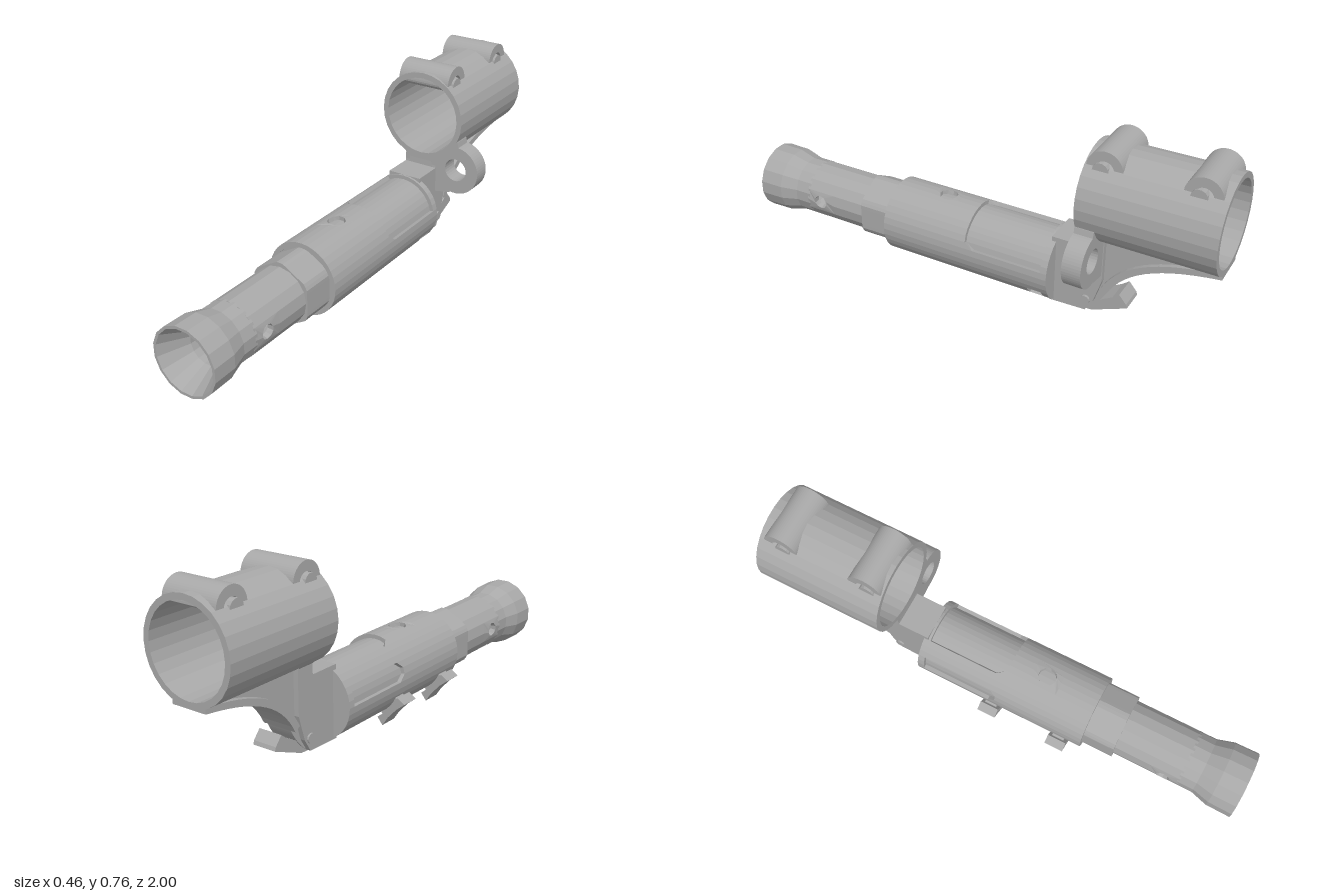
import * as THREE from 'three';
import { mergeGeometries } from 'three/addons/utils/BufferGeometryUtils.js';

const CX = -0.04, CY = 0.183; // lower tube axis
const RX = -0.042, RY = 0.552; // upper ring axis
const rad = THREE.MathUtils.degToRad;

const grey = new THREE.MeshStandardMaterial({ color: 0xa8a8a8, flatShading: true, side: THREE.DoubleSide });
grey.name = 'grey metal';

function add(parent, name, geometry, x = 0, y = 0, z = 0) {
  const mesh = new THREE.Mesh(geometry, grey);
  mesh.name = name;
  mesh.position.set(x, y, z);
  parent.add(mesh);
  return mesh;
}

const polygon = (pts) => new THREE.Shape(pts.map((p) => new THREE.Vector2(p[0], p[1])));

const extrude = (shape, depth, curveSegments = 16) =>
  new THREE.ExtrudeGeometry(shape, { depth, bevelEnabled: false, curveSegments });

// Bends a (angle, z) shape into a curved wall around the z axis
function wrap(shape, r0, r1) {
  const g = extrude(shape, r1 - r0, 5);
  const p = g.attributes.position;
  for (let i = 0; i < p.count; i++) {
    const a = p.getX(i), z = p.getY(i), r = r0 + p.getZ(i);
    p.setXYZ(i, r * Math.cos(a), r * Math.sin(a), z);
  }
  g.computeVertexNormals();
  return g;
}

// One flat facet of a wall, between two angles in degrees
const facet = (a0, a1, z0, z0b, z1, r0, r1) =>
  wrap(polygon([[rad(a0), z0], [rad(a1), z0b], [rad(a1), z1], [rad(a0), z1]]), r0, r1);

// Curved wall patch with a round hole in the middle
function holedPatch(mid, half, step, z0, z1, hole, r0, r1) {
  const low = [], high = [];
  for (let a = -half; a <= half; a += step) {
    low.push([rad(mid + a), z0]);
    high.unshift([rad(mid + a), z1]);
  }
  const s = polygon([...low, ...high]);
  s.holes.push(new THREE.Path().absellipse(rad(mid), (z0 + z1) / 2, hole / r1, hole, 0, Math.PI * 2));
  return wrap(s, r0, r1);
}

// Solid of revolution around z from [radius, z] points
function turned(pts, segments) {
  const g = new THREE.LatheGeometry(pts.map((p) => new THREE.Vector2(p[0], p[1])), segments);
  return g.rotateX(Math.PI / 2);
}

// Profile given as [z, y], extruded along x from x0 to x1
function sideProfile(shape, x0, x1) {
  const g = extrude(shape, x1 - x0, 14);
  return g.rotateY(-Math.PI / 2).translate(x1, 0, 0);
}

// Rear edge of the sleeve at each angle: the windows have rounded ends
function sleeveRear(a) {
  for (const [from, to, end, round] of [[10, 120, -0.01, 0.04], [150, 180, -0.02, 0.03], [310, 330, -0.28, 0]]) {
    if (a > from && a < to) {
      const d = Math.min(a - from, to - a) * 0.148 * Math.PI / 180;
      const k = Math.max(0, round - d);
      return end - (round - Math.sqrt(Math.max(0, round * round - k * k)));
    }
  }
  return -0.34;
}

function buildBarrel() {
  const barrel = new THREE.Group();
  barrel.name = 'barrel';
  barrel.position.set(CX, CY, 0);

  // Flared mouth with a conical recess
  add(barrel, 'flaredMouth', turned([
    [0, 0.85], [0.073, 0.85], [0.073, 0.89], [0.126, 1], [0.137, 1],
    [0.135, 0.9], [0.115, 0.83], [0.115, 0.76],
  ], 16).rotateZ(rad(11.25)));

  // Front tube, drilled through from side to side
  const tube = [];
  for (let a = 0; a < 360; a += 22.5) {
    tube.push(facet(a, a + 22.5, 0.48, 0.48, 0.64, 0.09, 0.115));
    if (![0, 157.5, 180, 337.5].includes(a)) tube.push(facet(a, a + 22.5, 0.64, 0.64, 0.77, 0.09, 0.115));
  }
  for (const a of [0, 180]) tube.push(holedPatch(a, 22.5, 22.5, 0.64, 0.77, 0.029, 0.09, 0.115));
  add(barrel, 'frontTube', mergeGeometries(tube));

  // Collar with six wrench flats
  const nut = [];
  for (let a = 0; a < 360; a += 6) {
    const off = rad(((a + 30) % 60) - 30);
    const r = Math.min(0.131, 0.12 / Math.cos(off));
    nut.push([r * Math.cos(rad(a)), r * Math.sin(rad(a))]);
  }
  add(barrel, 'wrenchCollar', extrude(polygon(nut), 0.14), 0, 0, 0.35);

  // Main body: inner core, windowed sleeve and end collar
  add(barrel, 'bodyCore', turned([[0, -0.35], [0.134, -0.35], [0.134, 0.355], [0, 0.355]], 36));
  const sleeve = [];
  for (let a = 0; a < 360; a += 10) {
    const r0 = sleeveRear(a + 0.01), r1 = sleeveRear(a + 9.99);
    if (a >= 70 && a < 110) {
      sleeve.push(facet(a, a + 10, r0, r1, 0.08, 0.13, 0.15));
      sleeve.push(facet(a, a + 10, 0.2, 0.2, 0.36, 0.13, 0.15));
    } else sleeve.push(facet(a, a + 10, r0, r1, 0.36, 0.13, 0.15));
  }
  sleeve.push(holedPatch(90, 20, 10, 0.08, 0.2, 0.037, 0.13, 0.15));
  add(barrel, 'windowedSleeve', mergeGeometries(sleeve));
  add(barrel, 'endCollar', turned([[0, -0.368], [0.15, -0.368], [0.15, -0.34], [0, -0.34]], 36));

  // Two lugs on the lower side
  for (const z of [0.265, -0.04]) {
    const lug = new THREE.Group();
    lug.name = 'lug';
    lug.position.z = z;
    lug.rotation.z = rad(-47);
    add(lug, 'lugStem', new THREE.BoxGeometry(0.1, 0.05, 0.05), 0, -0.145, 0);
    const cap = polygon([[-0.068, -0.15], [-0.074, -0.187], [-0.03, -0.18], [0.03, -0.18], [0.074, -0.187], [0.068, -0.15], [0, -0.16]]);
    add(lug, 'lugCap', extrude(cap, 0.078), 0, 0, -0.039);
    barrel.add(lug);
  }
  return barrel;
}

function buildBracket() {
  const bracket = new THREE.Group();
  bracket.name = 'bracket';

  // Web sweeping from the body up under the ring
  const web = new THREE.Shape();
  web.moveTo(-0.35, 0.045);
  web.lineTo(-0.35, 0.333);
  web.lineTo(-0.48, 0.333);
  web.lineTo(-0.482, 0.383);
  web.lineTo(-1, 0.383);
  web.lineTo(-1, 0.362);
  web.bezierCurveTo(-0.76, 0.335, -0.64, 0.27, -0.58, 0.15);
  web.quadraticCurveTo(-0.55, 0.09, -0.5, 0.05);
  add(bracket, 'curvedWeb', sideProfile(web, -0.095, 0.012));

  // Wider flange along the lower curve
  const flange = new THREE.Shape();
  flange.moveTo(-1, 0.362);
  flange.bezierCurveTo(-0.76, 0.335, -0.64, 0.27, -0.58, 0.15);
  flange.lineTo(-0.555, 0.165);
  flange.bezierCurveTo(-0.62, 0.29, -0.74, 0.36, -1, 0.385);
  add(bracket, 'curvedFlange', sideProfile(flange, -0.115, 0.03));

  // Block behind the body
  const block = polygon([[-0.35, 0.045], [-0.35, 0.333], [-0.48, 0.333], [-0.485, 0.385], [-0.56, 0.385], [-0.56, 0.2], [-0.53, 0.1], [-0.5, 0.05]]);
  add(bracket, 'rearBlock', sideProfile(block, -0.115, 0.032));

  // Ear plate with a round eye
  const ear = new THREE.Shape();
  ear.moveTo(-0.115, 0.3);
  ear.lineTo(0, 0.22);
  ear.lineTo(0.1, 0.238);
  ear.absarc(0.125, 0.345, 0.104, rad(-100), rad(84), false);
  ear.lineTo(0.131, 0.472);
  ear.absarc(RX, RY, 0.178, rad(-27), rad(-130), true);
  ear.lineTo(-0.115, 0.375);
  ear.holes.push(new THREE.Path().absarc(0.126, 0.346, 0.049, 0, Math.PI * 2, true));
  add(bracket, 'earPlate', extrude(ear, 0.075, 14), 0, 0, -0.556);

  // Latch lever and its pivot pin
  const latch = polygon([[-0.4, 0.045], [-0.46, 0.038], [-0.52, 0.042], [-0.66, 0.1], [-0.655, 0.115], [-0.625, 0.15], [-0.6, 0.13], [-0.55, 0.1], [-0.47, 0.1]]);
  add(bracket, 'latchLever', sideProfile(latch, -0.09, 0.01));
  const pin = new THREE.CylinderGeometry(0.019, 0.019, 0.165, 12).rotateZ(Math.PI / 2);
  add(bracket, 'latchPin', pin, CX, 0.1, -0.5);
  return bracket;
}

function buildRing() {
  const ring = new THREE.Group();
  ring.name = 'ringMount';

  const wall = new THREE.Shape().absarc(0, 0, 0.188, 0, Math.PI * 2);
  wall.holes.push(new THREE.Path().absarc(0, 0, 0.165, 0, Math.PI * 2, true));
  add(ring, 'ringTube', extrude(wall, 0.52, 14), RX, RY, -1);

  // Two domed clips, each holding a cross pin
  for (const z of [-0.555, -0.91]) {
    const dome = new THREE.Shape();
    dome.absarc(0, 0.697, 0.069, 0, Math.PI, false);
    dome.lineTo(-0.036, 0.692);
    dome.absarc(0, 0.692, 0.036, Math.PI, 0, true);
    add(ring, 'clip', sideProfile(dome, -0.158, 0.073), 0, 0, z);
    const pin = new THREE.CylinderGeometry(0.031, 0.031, 0.25, 14).rotateZ(Math.PI / 2);
    add(ring, 'clipPin', pin, RX, 0.691, z + 0.012);
  }
  return ring;
}

export function createModel() {
  const model = new THREE.Group();
  model.name = 'clampTool';
  model.add(buildBarrel(), buildBracket(), buildRing());
  return model;
}
